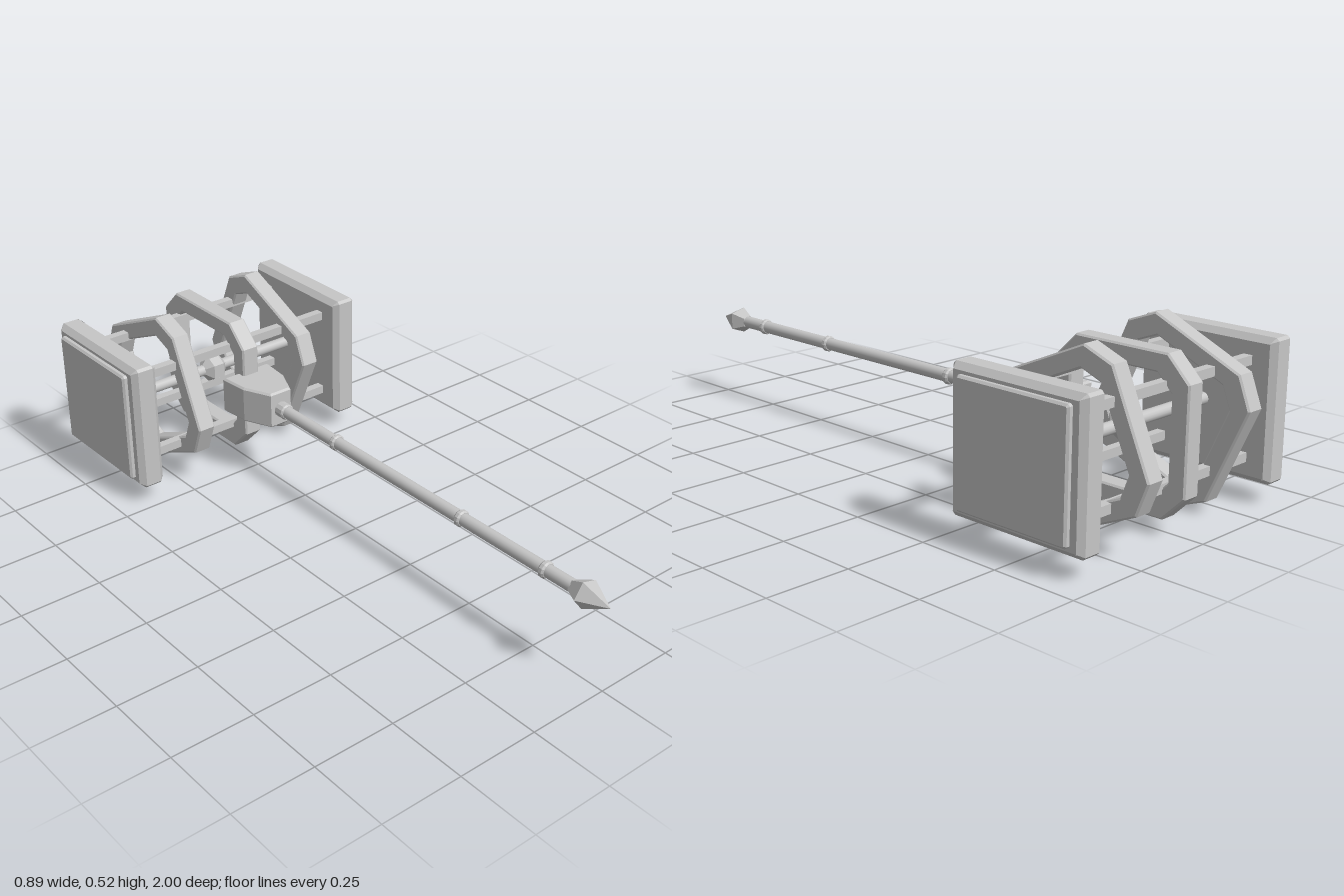
import * as THREE from 'three';

const CY = 0.264;      // height of the handle axis
const HZ = -0.738;     // z of the head's centre
const metal = new THREE.MeshStandardMaterial({ color: 0xc6c6c6 });
metal.name = 'light grey metal';

// Rectangle with chamfered corners
function chamferedRect(hw, hh, c, Type = THREE.Shape) {
  const s = new Type();
  s.setFromPoints([
    [hw, -hh + c], [hw, hh - c], [hw - c, hh], [-hw + c, hh],
    [-hw, hh - c], [-hw, -hh + c], [-hw + c, -hh], [hw - c, -hh],
  ].map(([x, y]) => new THREE.Vector2(x, y)));
  return s;
}

// Bevelled slab of given total thickness, centred on local z = 0
function slab(shape, thickness, bevel) {
  return new THREE.ExtrudeGeometry(shape, {
    depth: thickness - 2 * bevel, bevelEnabled: true, bevelSegments: 1,
    bevelThickness: bevel, bevelSize: bevel, bevelOffset: -bevel,
  }).translate(0, 0, -thickness / 2 + bevel);
}

// Faceted turned part along +z, from [radius, z] pairs
function turned(profile, sides, phase = 0) {
  const pts = profile.map(([r, z]) => new THREE.Vector2(r, z));
  const g = new THREE.LatheGeometry(pts, sides, phase).rotateX(Math.PI / 2).toNonIndexed();
  g.computeVertexNormals();
  return g;
}

export function createModel() {
  const model = new THREE.Group();
  model.name = 'hammer';
  const add = (name, geometry, parent, x = 0, y = 0, z = 0) => {
    const mesh = new THREE.Mesh(geometry, metal);
    mesh.name = name;
    mesh.position.set(x, y, z);
    parent.add(mesh);
  };

  // Head
  const head = new THREE.Group();
  head.name = 'head';
  head.position.set(0, CY, HZ);
  model.add(head);

  for (const side of [-1, 1]) {
    // Striking plates with a thinner raised face outside
    add('strikingPlate', slab(chamferedRect(0.22, 0.204, 0.008), 0.085, 0.017).rotateY(Math.PI / 2),
      head, side * 0.3845);
    add('strikingFace', slab(chamferedRect(0.184, 0.178, 0.006), 0.04, 0.006).rotateY(Math.PI / 2),
      head, side * 0.423);
  }

  // Chamfered square rings, the outer two turned opposite ways
  for (const i of [-1, 0, 1]) {
    const ring = chamferedRect(0.22, 0.22, 0.07);
    ring.holes.push(chamferedRect(0.165, 0.165, 0.048, THREE.Path));
    const g = slab(ring, 0.059, 0.005)
      .rotateZ(i * THREE.MathUtils.degToRad(24)).rotateY(Math.PI / 2);
    add('cageRing', g, head, i * 0.204);
  }

  // Square rods near the corners and a round one through the centre
  for (const y of [-0.136, 0.136])
    for (const z of [-0.137, 0.137])
      add('cornerRod', new THREE.BoxGeometry(0.7, 0.027, 0.027), head, 0, y, z);
  add('centreRod', new THREE.CylinderGeometry(0.018, 0.018, 0.7, 16).rotateZ(Math.PI / 2), head);

  // Faceted gem at the centre
  add('centreGem', turned([[0, -0.055], [0.045, -0.018], [0.045, 0.018], [0, 0.055]], 6)
    .rotateY(Math.PI / 2), head);

  // Tapered block joining head and handle
  const block = new THREE.Shape([
    [0.038, 0.365], [0.078, 0.455], [0.087, 0.55], [-0.087, 0.55], [-0.078, 0.455], [-0.038, 0.365],
  ].map(([x, y]) => new THREE.Vector2(x, y)));
  add('socketBlock', slab(block, 0.118, 0.006).rotateX(-Math.PI / 2), model, 0, CY + 0.002, 0);

  // Round handle with collars
  const handle = new THREE.Group();
  handle.name = 'handle';
  handle.position.y = CY;
  model.add(handle);
  add('shaft', new THREE.CylinderGeometry(0.019, 0.019, 1.31, 16).rotateX(Math.PI / 2),
    handle, 0, 0, 0.235);
  for (const [z, half] of [[-0.35, 0.02], [-0.09, 0.01], [0.455, 0.01], [0.775, 0.01]]) {
    const r = 0.025;
    add('collar', turned([[0, -half], [r - 0.004, -half], [r, -half + 0.005],
      [r, half - 0.005], [r - 0.004, half], [0, half]], 12), handle, 0, 0, z);
  }

  // Five-sided pommel spike
  add('pommelSpike', turned([[0, 0.872], [0.022, 0.872], [0.044, 0.915], [0, 1]], 5,
    THREE.MathUtils.degToRad(56)), handle);

  return model;
}
